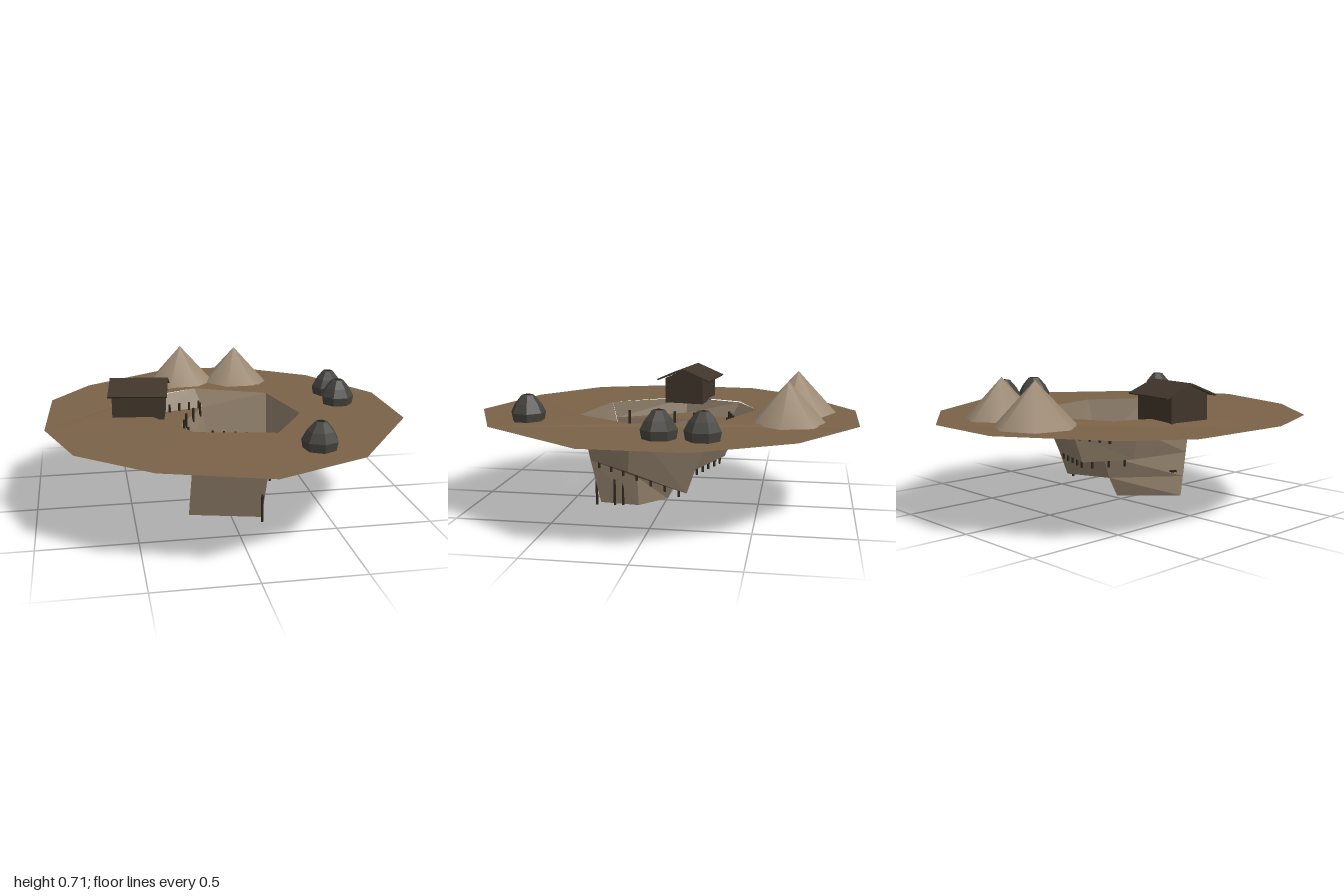
import * as THREE from 'three';

const mat = (color, flat = true) => new THREE.MeshStandardMaterial({ color, flatShading: flat, side: THREE.DoubleSide });
const soil = mat(0x7a6247), rock = mat(0x8c7b67), spoil = mat(0x9a8872, false);
const timber = mat(0x2e261e), planks = mat(0x40352a), stone = mat(0x45433e);

// Corners of the pit, spiralling down from the surface to the floor
const p = {
  A0: [-0.085, 0.5, -0.475], B0: [0.305, 0.5, -0.305], C0: [0.395, 0.5, 0.115], D0: [0.205, 0.5, 0.42],
  P0: [-0.2, 0.5, 0.34], E0: [-0.44, 0.495, -0.05], F0: [-0.33, 0.495, -0.365],
  A1: [-0.05, 0.41, -0.385], F1: [-0.29, 0.41, -0.32], E1: [-0.415, 0.41, -0.05], G1: [-0.215, 0.41, -0.08], P1: [-0.205, 0.41, 0.32],
  A2: [-0.04, 0.25, -0.312], B2: [0.285, 0.25, -0.195], H2: [0.025, 0.25, -0.11], G2: [-0.165, 0.25, -0.07], P2: [-0.21, 0.25, 0.29],
  B3: [0.272, 0.12, -0.15], C3: [0.342, 0.24, 0.14], D3: [0.165, 0.25, 0.38], I3: [0.18, 0.17, 0.125], H3: [0.03, 0.12, -0.06], P3: [-0.215, 0.12, 0.262],
  H4: [0.02, 0.015, -0.01], I4: [0.17, 0.015, 0.12], D4: [0.148, 0.015, 0.33], P4: [-0.22, 0.015, 0.24],
};

function add(parent, name, geometry, material, x = 0, y = 0, z = 0) {
  const mesh = new THREE.Mesh(geometry, material);
  mesh.name = name;
  mesh.position.set(x, y, z);
  parent.add(mesh);
  return mesh;
}

// Polygons given as corner names, each fanned from its first corner
function facets(polygons) {
  const pos = [];
  for (const text of polygons) {
    const c = text.split(' ').map((k) => p[k]);
    for (let i = 1; i < c.length - 1; i++) pos.push(...c[0], ...c[i + 1], ...c[i]);
  }
  const g = new THREE.BufferGeometry();
  g.setAttribute('position', new THREE.Float32BufferAttribute(pos, 3));
  g.computeVertexNormals();
  return g;
}

// Timber between two points
function pole(parent, name, a, b, r = 0.007) {
  const from = new THREE.Vector3(...a), to = new THREE.Vector3(...b);
  const mesh = add(parent, name, new THREE.CylinderGeometry(r, r, from.distanceTo(to), 5), timber);
  mesh.position.copy(from).lerp(to, 0.5);
  mesh.quaternion.setFromUnitVectors(new THREE.Vector3(0, 1, 0), to.sub(from).normalize());
}

function makeGround() {
  const rim = [[-0.21, -1], [0.23, -1], [0.65, -0.71], [0.92, -0.25], [0.92, 0.25], [0.53, 0.8],
    [0.07, 1], [-0.44, 0.84], [-0.79, 0.55], [-0.93, 0.15], [-0.9, -0.4], [-0.69, -0.69]];
  const shape = new THREE.Shape(rim.map(([x, z]) => new THREE.Vector2(x, -z)));
  const hole = ['A0', 'B0', 'C0', 'D0', 'P0', 'E0', 'F0'].map((k) => new THREE.Vector2(p[k][0], -p[k][2]));
  shape.holes.push(new THREE.Path(hole));
  const g = new THREE.ShapeGeometry(shape).rotateX(-Math.PI / 2);
  const v = g.attributes.position;
  // The land rises slightly towards the pit
  for (let i = 0; i < v.count; i++) v.setY(i, Math.hypot(v.getX(i), v.getZ(i)) > 0.7 ? 0.488 : 0.5);
  g.computeVertexNormals();
  return g;
}

function makeHut() {
  const hut = new THREE.Group();
  hut.name = 'hut';
  const gable = new THREE.Shape([[-0.11, 0], [0.11, 0], [0.11, 0.14], [0, 0.188], [-0.11, 0.14]].map((a) => new THREE.Vector2(...a)));
  const body = new THREE.ExtrudeGeometry(gable, { depth: 0.27, bevelEnabled: false });
  body.translate(0, 0, -0.135).rotateY(Math.PI / 2);
  add(hut, 'hutWalls', body, planks);
  // Two overhanging roof slopes meeting at the ridge
  const roof = new THREE.Shape([[-0.155, 0.135], [0, 0.197], [0.155, 0.135], [0.15, 0.128], [0, 0.188], [-0.15, 0.128]].map((a) => new THREE.Vector2(...a)));
  const slopes = new THREE.ExtrudeGeometry(roof, { depth: 0.305, bevelEnabled: false });
  slopes.translate(0, 0, -0.1525).rotateY(Math.PI / 2);
  add(hut, 'hutRoof', slopes, planks);
  hut.position.set(-0.435, 0.485, -0.07);
  hut.rotation.y = -0.155;
  return hut;
}

export function createModel() {
  const model = new THREE.Group();
  model.name = 'openPitMine';
  add(model, 'ground', makeGround(), soil);

  // Rock faces between the benches
  add(model, 'pitWalls', facets([
    'B0 A0 A1 A2 B2', 'A0 F0 F1 A1', 'F0 E0 E1 F1', 'E0 P0 P1 E1',
    'C0 B0 B2 B3 C3', 'D0 C0 C3 D3', 'P0 D0 D3 P2', 'P2 D3 D4 P4',
    'A1 G1 G2 A2', 'G1 P1 P2 G2',
    'B2 H2 H3 B3', 'H2 P2 P3 H3',
    'H3 P3 P4 H4', 'I3 H3 H4 I4', 'D3 I3 I4 D4',
  ]), rock);
  add(model, 'benches', facets(['G1 A1 F1 E1 P1', 'H2 P2 G2 A2 B2', 'I3 H3 B3 C3 D3']), soil);
  add(model, 'pitFloor', facets(['H4 P4 D4 I4']), soil);

  // Short props along the foot of the walls, reaching just below each bench
  const props = new THREE.Group();
  props.name = 'props';
  for (const [from, to, n] of [['F1', 'A1', 4], ['P1', 'G1', 3], ['G1', 'A1', 3], ['A2', 'B2', 5], ['G2', 'A2', 3], ['B3', 'C3', 4], ['C3', 'D3', 3]]) {
    for (let i = 0; i < n; i++) {
      const c = new THREE.Vector3(...p[from]).lerp(new THREE.Vector3(...p[to]), (i + 0.5) / n);
      c.x *= 0.96;
      c.z *= 0.96;
      pole(props, 'prop', [c.x, c.y - 0.035, c.z], [c.x, c.y + 0.045, c.z]);
    }
  }
  model.add(props);

  // Timber trestle across the floor
  const trestle = new THREE.Group();
  trestle.name = 'trestle';
  for (const z of [0.205, 0.225]) pole(trestle, 'trestleBeam', [-0.2, 0.15, z], [0.17, 0.15, z + 0.005]);
  for (const z of [0.205, 0.25]) pole(trestle, 'trestlePost', [0.165, 0.01, z], [0.165, 0.15, z]);
  pole(trestle, 'trestlePost', [0.145, 0, 0.353], [0.145, 0.15, 0.353]);
  model.add(trestle);

  model.add(makeHut());

  // Spoil heaps behind the pit
  for (const [x, z, r, h, turn] of [[-0.14, -0.69, 0.205, 0.22, 0], [0.18, -0.648, 0.192, 0.21, 0.06]]) {
    const heap = add(model, 'spoilHeap', new THREE.ConeGeometry(r, h, 7), spoil, x, 0.487 + h / 2, z);
    heap.rotation.y = Math.PI + turn;
  }

  // Kilns, open at the top
  const profile = [[0.082, 0], [0.09, 0.045], [0.066, 0.09], [0.03, 0.132], [0.02, 0.134]].map((a) => new THREE.Vector2(...a));
  for (const [x, z, turn] of [[0.66, -0.28, 0.2], [0.655, -0.075, 0.4], [0.35, 0.65, 0]]) {
    const kiln = add(model, 'kiln', new THREE.LatheGeometry(profile, 7), stone, x, 0.49, z);
    kiln.rotation.y = turn;
  }
  return model;
}
